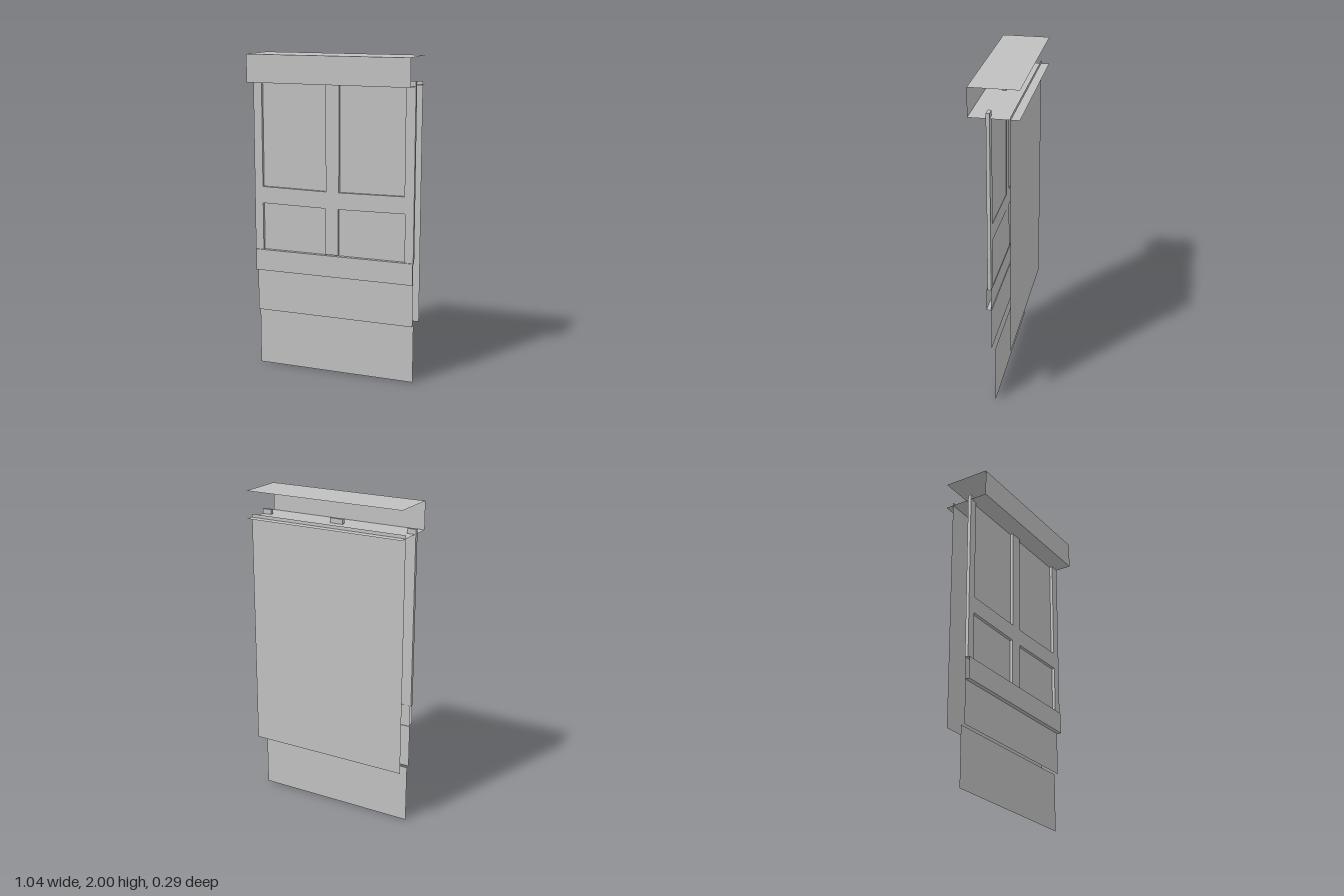
import * as THREE from 'three';

export function createModel() {
  const group = new THREE.Group();
  const grey = new THREE.MeshStandardMaterial({ color: 0xc0c0c0, side: THREE.DoubleSide });
  grey.name = 'plain grey';

  const add = (name, geometry) => {
    const mesh = new THREE.Mesh(geometry, grey);
    mesh.name = name;
    group.add(mesh);
    return mesh;
  };

  // Upright sheet facing the front
  const sheet = (name, x0, x1, y0, y1, z) =>
    add(name, new THREE.PlaneGeometry(x1 - x0, y1 - y0)).position.set((x0 + x1) / 2, (y0 + y1) / 2, z);

  // Level sheet facing up
  const shelf = (name, x0, x1, z0, z1, y) =>
    add(name, new THREE.PlaneGeometry(x1 - x0, z1 - z0).rotateX(-Math.PI / 2))
      .position.set((x0 + x1) / 2, y, (z0 + z1) / 2);

  // Canopy: roof, fascia and lower shelf, open at the back and ends
  shelf('canopyRoof', -0.52, 0.52, -0.145, 0.145, 2);
  sheet('canopyFascia', -0.52, 0.52, 1.83, 2, 0.145);
  shelf('canopyShelf', -0.52, 0.52, -0.145, 0.145, 1.83);

  // Wall sheets
  sheet('backSheet', -0.52, 0.52, 0.365, 1.85, -0.095);
  sheet('frontSheet', -0.52, 0.515, 0.365, 1.83, 0.023);
  sheet('basePanel', -0.52, 0.515, 0, 0.365, 0);

  // Raised frame: three stiles joined by one rail, open above and below
  const outline = [
    [-0.525, 0.77], [-0.47, 0.77], [-0.47, 1.07], [-0.05, 1.065], [-0.05, 0.775], [0.035, 0.775],
    [0.035, 1.065], [0.465, 1.07], [0.465, 0.77], [0.52, 0.77], [0.52, 1.86], [0.46, 1.86],
    [0.46, 1.175], [0.04, 1.17], [0.04, 1.86], [-0.045, 1.86], [-0.045, 1.17], [-0.47, 1.175],
    [-0.47, 1.86], [-0.525, 1.86],
  ].map(([x, y]) => new THREE.Vector2(x, y));
  const frame = new THREE.ExtrudeGeometry(new THREE.Shape(outline), { depth: 0.021, bevelEnabled: false });
  add('panelFrame', frame).position.z = 0.021;

  // Skirt board with top and bottom ledges, open at the ends
  sheet('skirtFront', -0.52, 0.52, 0.635, 0.77, 0.05);
  shelf('skirtTop', -0.52, 0.52, 0.02, 0.05, 0.77);
  shelf('skirtBottom', -0.52, 0.52, 0.018, 0.05, 0.635);

  return group;
}
